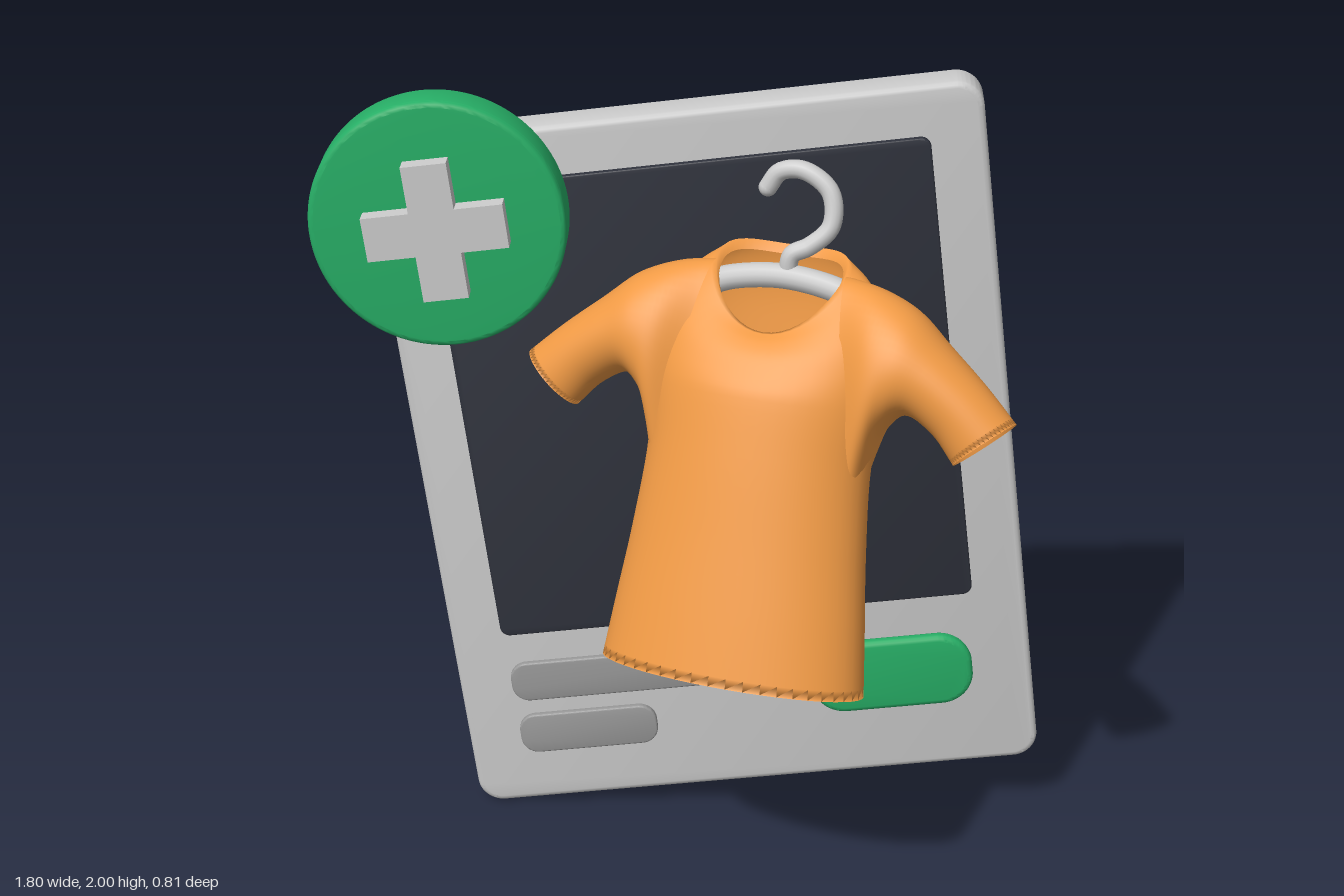
import * as THREE from 'three';
import { toCreasedNormals } from 'three/addons/utils/BufferGeometryUtils.js';

const TILT = 0.125; // lean of the card and the plus sign
const V = (x, y, z = 0) => new THREE.Vector3(x, y, z);
const paint = (color, side = THREE.FrontSide) => new THREE.MeshStandardMaterial({ color, side });
const grey = paint(0xcccccc);
const darkGrey = paint(0x999999);
const green = paint(0x27ae66);
const slate = paint(0x2f323c);
const cloth = paint(0xf09a45, THREE.DoubleSide);

function add(parent, name, geometry, material) {
  const mesh = new THREE.Mesh(geometry, material);
  mesh.name = name;
  parent.add(mesh);
  return mesh;
}

function roundedRect(w, h, r) {
  const s = new THREE.Shape();
  const x = w / 2 - r, y = h / 2 - r;
  s.absarc(x, y, r, 0, Math.PI / 2);
  s.absarc(-x, y, r, Math.PI / 2, Math.PI);
  s.absarc(-x, -y, r, Math.PI, Math.PI * 1.5);
  s.absarc(x, -y, r, Math.PI * 1.5, Math.PI * 2);
  s.closePath();
  return s;
}

// Rounded slab between z0 and z1 with softened edges
function slab(w, h, r, z0, z1, bevel) {
  const geo = new THREE.ExtrudeGeometry(roundedRect(w - 2 * bevel, h - 2 * bevel, r - bevel), {
    depth: z1 - z0 - 2 * bevel, bevelThickness: bevel, bevelSize: bevel, bevelSegments: 3, curveSegments: 16,
  });
  return toCreasedNormals(geo.translate(0, 0, z0 + bevel), 0.6);
}

// Smooth skin over a list of closed rings
function loft(rings) {
  const n = rings[0].length;
  const index = [];
  for (let i = 0; i < rings.length - 1; i++) {
    for (let j = 0; j < n; j++) {
      const a = i * n + j, b = i * n + (j + 1) % n;
      index.push(a, a + n, b, b, a + n, b + n);
    }
  }
  const geo = new THREE.BufferGeometry().setFromPoints(rings.flat());
  geo.setIndex(index);
  geo.computeVertexNormals();
  return geo;
}

// Copy of an edge ring, shrunk and pushed inward, that turns the cloth over
function lip(ring, scale, shift) {
  const c = ring.reduce((sum, p) => sum.add(p), V(0, 0)).divideScalar(ring.length);
  return ring.map((p) => p.clone().lerp(c, scale).add(shift));
}

const SIDES = 48;
const around = (fn) => Array.from({ length: SIDES }, (_, j) => fn(j / SIDES * Math.PI * 2));

// Torso: elliptical rings (height, half width, half depth), scooped at the neck
function torsoGeometry() {
  const profile = new THREE.CatmullRomCurve3([
    V(0, 0.325, 0.175), V(0.15, 0.308, 0.172), V(0.33, 0.287, 0.168), V(0.54, 0.272, 0.165),
    V(0.7, 0.285, 0.158), V(0.8, 0.283, 0.142), V(0.88, 0.262, 0.125), V(0.94, 0.222, 0.104),
    V(0.985, 0.158, 0.08),
  ].map((p) => V(p.x, p.y, p.z)));
  const rings = profile.getPoints(48).map((p) => {
    const scoop = THREE.MathUtils.clamp((p.x - 0.68) / 0.305, 0, 1);
    return around((t) => {
      const s = Math.sin(t);
      return V(p.y * Math.cos(t), p.x - scoop * (0.1 * s + 0.06 * s * s), p.z * s);
    });
  });
  return loft([lip(rings[0], 0.05, V(0, 0.04)), ...rings, lip(rings[rings.length - 1], 0.06, V(0, -0.02))]);
}

// Sleeve: rings spanning from the shoulder line down to the underarm line
function sleeveGeometry(side) {
  const top = new THREE.CatmullRomCurve3([ // z holds the half depth
    V(0.16, 0.975, 0.09), V(0.25, 0.958, 0.118), V(0.34, 0.92, 0.12),
    V(0.424, 0.85, 0.105), V(0.52, 0.77, 0.088), V(0.6, 0.695, 0.074),
  ]);
  const under = new THREE.CatmullRomCurve3([
    V(0.25, 0.42), V(0.268, 0.54), V(0.292, 0.63), V(0.342, 0.677), V(0.41, 0.645), V(0.47, 0.58),
  ]);
  const rings = [];
  for (let i = 0; i <= 30; i++) {
    const a = top.getPoint(i / 30), b = under.getPoint(i / 30);
    rings.push(around((t) => {
      const k = (1 - Math.cos(t)) / 2;
      return V(side * (a.x + (b.x - a.x) * k), a.y + (b.y - a.y) * k, a.z * Math.sin(t));
    }));
  }
  rings.push(lip(rings[30], 0.12, V(-0.025 * side, 0.028)));
  return loft(rings);
}

function tube(points, radius) {
  return new THREE.TubeGeometry(new THREE.CatmullRomCurve3(points), 48, radius, 14);
}

export function createModel() {
  const model = new THREE.Group();
  model.name = 'clothingCard';

  // Leaning card with screen, text bars and button
  const card = new THREE.Group();
  card.name = 'card';
  card.position.set(0.055, 1, 0);
  card.rotation.z = TILT;
  model.add(card);
  add(card, 'cardPanel', slab(1.475, 1.845, 0.065, -0.405, -0.295, 0.015), grey);
  add(card, 'screen', slab(1.21, 1.22, 0.025, -0.3, -0.28, 0.004), slate).position.set(0, 0.19, 0);
  add(card, 'longBar', slab(0.525, 0.11, 0.045, -0.3, -0.28, 0.004), darkGrey).position.set(-0.338, -0.562, 0);
  add(card, 'shortBar', slab(0.36, 0.112, 0.045, -0.3, -0.28, 0.004), darkGrey).position.set(-0.42, -0.718, 0);
  add(card, 'button', slab(0.415, 0.2, 0.085, -0.3, -0.266, 0.014), green).position.set(0.38, -0.629, 0);

  // Round badge with a plus sign
  const badge = new THREE.Group();
  badge.name = 'badge';
  badge.position.set(-0.596, 1.685, 0);
  badge.rotation.z = TILT;
  model.add(badge);
  add(badge, 'badgeDisc', slab(0.61, 0.61, 0.305, -0.24, -0.135, 0.014), green);
  const l = 0.168, w = 0.054;
  const plus = new THREE.Shape([
    [l, -w], [l, w], [w, w], [w, l], [-w, l], [-w, w], [-l, w], [-l, -w], [-w, -w], [-w, -l], [w, -l], [w, -w],
  ].map(([x, y]) => new THREE.Vector2(x, y)));
  const plusGeo = new THREE.ExtrudeGeometry(plus, { depth: 0.055, bevelEnabled: false });
  add(badge, 'plusSign', plusGeo.translate(0, 0, -0.147), grey);

  // Shirt, turned and swinging forward at the hem
  const shirt = new THREE.Group();
  shirt.name = 'shirt';
  shirt.position.set(0.11, 0.695, 0.213);
  shirt.rotation.set(-0.33, -0.33, 0, 'YXZ');
  model.add(shirt);
  add(shirt, 'torso', torsoGeometry(), cloth);
  add(shirt, 'leftSleeve', sleeveGeometry(1), cloth);
  add(shirt, 'rightSleeve', sleeveGeometry(-1), cloth);

  // Hanger: shoulder bar inside the collar and the hook above it
  const hanger = new THREE.Group();
  hanger.name = 'hanger';
  model.add(hanger);
  add(hanger, 'hangerBar', tube([
    V(0.03, 1.55, -0.14), V(0.1, 1.578, -0.12), V(0.215, 1.595, -0.085), V(0.33, 1.582, -0.045), V(0.4, 1.555, -0.02),
  ], 0.03), grey);
  add(hanger, 'hook', tube([
    V(0.177, 1.782, -0.17), V(0.205, 1.822, -0.165), V(0.26, 1.832, -0.148), V(0.322, 1.79, -0.12),
    V(0.325, 1.715, -0.095), V(0.275, 1.668, -0.087), V(0.235, 1.648, -0.085), V(0.226, 1.595, -0.085),
  ], 0.022), grey);
  const tip = add(hanger, 'hookTip', new THREE.SphereGeometry(0.022, 14, 10), grey);
  tip.position.set(0.177, 1.782, -0.17);

  return model;
}
